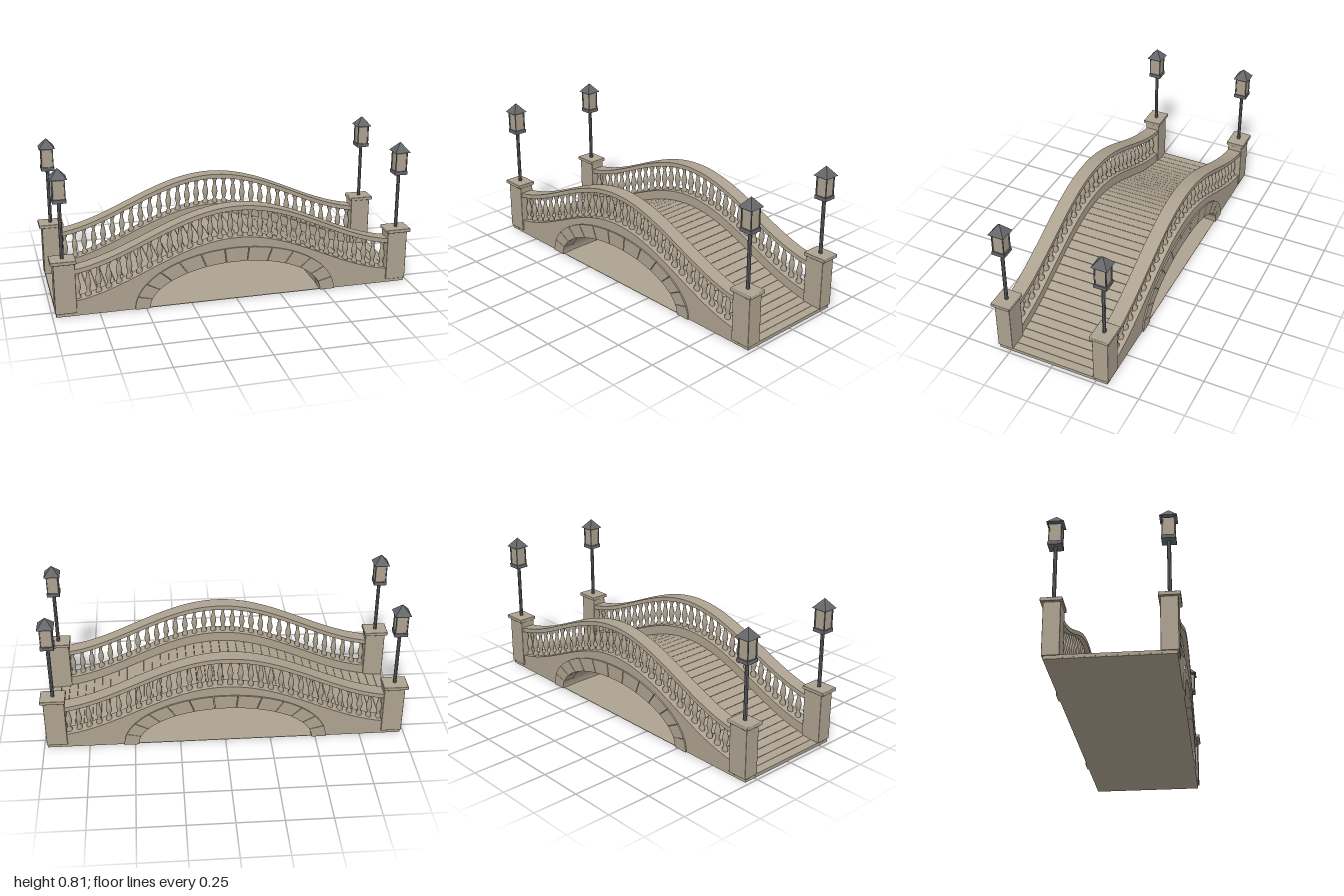
import * as THREE from 'three';
import { toCreasedNormals } from 'three/addons/utils/BufferGeometryUtils.js';
import { RoundedBoxGeometry } from 'three/addons/geometries/RoundedBoxGeometry.js';

const stone = new THREE.MeshStandardMaterial({ color: 0xada290 });
stone.name = 'stone';
const metal = new THREE.MeshStandardMaterial({ color: 0x66676a });
metal.name = 'iron';

// height of the walkway along the bridge
const deckY = (x) => 0.02 + 0.14 * (1 + Math.cos((Math.PI * x) / 0.98));

function add(parent, name, geometry, material, x = 0, y = 0, z = 0) {
  const mesh = new THREE.Mesh(geometry, material);
  mesh.name = name;
  mesh.position.set(x, y, z);
  parent.add(mesh);
  return mesh;
}

// points along the humped curve, raised by "lift"
function hump(halfLength, lift, steps = 56) {
  const pts = [];
  for (let i = 0; i <= steps; i++) {
    const x = halfLength * (1 - (2 * i) / steps);
    pts.push(new THREE.Vector2(x, deckY(x) + lift));
  }
  return pts;
}

function extrude(points, depth) {
  const geo = new THREE.ExtrudeGeometry(new THREE.Shape(points), { depth, bevelEnabled: false });
  geo.translate(0, 0, -depth / 2);
  return toCreasedNormals(geo, 0.5);
}

// solid under the humped curve with an elliptical opening
function archBody(lift, depth) {
  const pts = [new THREE.Vector2(-0.98, 0)];
  for (let i = 0; i <= 40; i++) {
    const a = Math.PI * (1 - i / 40);
    pts.push(new THREE.Vector2(0.485 * Math.cos(a), 0.225 * Math.sin(a)));
  }
  pts.push(new THREE.Vector2(0.98, 0), ...hump(0.98, lift));
  return extrude(pts, depth);
}

// one wedge of the arch ring
function archStone(a0, a1, depth) {
  const pts = [];
  const n = 4;
  for (let i = 0; i <= n; i++) {
    const a = a0 + ((a1 - a0) * i) / n;
    pts.push(new THREE.Vector2(0.56 * Math.cos(a), 0.3 * Math.sin(a)));
  }
  for (let i = n; i >= 0; i--) {
    const a = a0 + ((a1 - a0) * i) / n;
    pts.push(new THREE.Vector2(0.48 * Math.cos(a), 0.22 * Math.sin(a)));
  }
  return extrude(pts, depth);
}

function createLamp() {
  const lamp = new THREE.Group();
  lamp.name = 'lamp';
  add(lamp, 'lampPole', toCreasedNormals(new THREE.CylinderGeometry(0.01, 0.01, 0.32, 8), 0.3), metal, 0, 0.475, 0);
  add(lamp, 'lanternBase', new THREE.BoxGeometry(0.072, 0.02, 0.072), metal, 0, 0.64, 0);
  add(lamp, 'lanternPane', new THREE.BoxGeometry(0.058, 0.1, 0.058), stone, 0, 0.7, 0);
  for (const sx of [-1, 1]) {
    for (const sz of [-1, 1]) {
      add(lamp, 'lanternCorner', new THREE.BoxGeometry(0.006, 0.11, 0.006), metal, sx * 0.03, 0.704, sz * 0.03);
    }
  }
  const roof = new THREE.ConeGeometry(0.044 * Math.SQRT2, 0.053, 4, 1).toNonIndexed();
  roof.rotateY(Math.PI / 4);
  roof.computeVertexNormals();
  add(lamp, 'lanternRoof', roof, metal, 0, 0.7835, 0);
  return lamp;
}

export function createModel() {
  const bridge = new THREE.Group();
  bridge.name = 'footbridge';

  // core, and the thin floor under the arch
  add(bridge, 'bridgeCore', archBody(-0.01, 0.49), stone);
  add(bridge, 'archFloor', new THREE.BoxGeometry(0.98, 0.003, 0.63), stone, 0, 0.0015, 0);

  // walkway slabs following the curve
  const slabs = 40;
  const pitch = 1.964 / slabs;
  for (let i = 0; i < slabs; i++) {
    const x0 = -0.982 + i * pitch;
    const x1 = x0 + pitch;
    const rise = deckY(x1) - deckY(x0);
    const slab = new THREE.BoxGeometry(Math.hypot(pitch, rise) - 0.002, 0.014, 0.487);
    slab.translate(0, -0.007, 0);
    add(bridge, 'walkwaySlab', slab, stone, (x0 + x1) / 2, (deckY(x0) + deckY(x1)) / 2, 0)
      .rotation.z = Math.atan2(rise, pitch);
  }

  // shared side parts
  const wallGeo = archBody(0.055, 0.072);
  const railGeo = extrude([...hump(0.88, 0.21).reverse(), ...hump(0.88, 0.235)], 0.078);
  const profile = [
    [0.016, -0.012], [0.016, 0.014], [0.009, 0.022], [0.011, 0.04], [0.017, 0.062], [0.015, 0.082],
    [0.009, 0.108], [0.008, 0.128], [0.014, 0.138], [0.015, 0.165],
  ].map(([r, y]) => new THREE.Vector2(r, y));
  const balusterGeo = new THREE.LatheGeometry(profile, 10);
  const ringStones = 13;
  const step = Math.PI / ringStones;
  const ringGeos = [];
  for (let i = 0; i < ringStones; i++) {
    ringGeos.push(archStone(i * step + (i ? 0.004 : 0), (i + 1) * step - (i < ringStones - 1 ? 0.004 : 0), 0.07));
  }
  const pillarGeo = new RoundedBoxGeometry(0.114, 0.285, 0.087, 2, 0.004);
  const capGeo = new RoundedBoxGeometry(0.136, 0.02, 0.109, 2, 0.004);

  for (const side of [-1, 1]) {
    const parapet = new THREE.Group();
    parapet.name = side > 0 ? 'frontParapet' : 'backParapet';
    bridge.add(parapet);

    add(parapet, 'sideWall', wallGeo, stone, 0, 0, side * 0.279);
    add(parapet, 'handrail', railGeo, stone, 0, 0, side * 0.279);
    for (const geo of ringGeos) add(parapet, 'archStone', geo, stone, 0, 0, side * 0.288);

    // balusters
    for (let i = 0; i < 32; i++) {
      const x = (i - 15.5) * 0.0553;
      add(parapet, 'baluster', balusterGeo, stone, x, deckY(x) + 0.055, side * 0.279);
    }

    // end pillars with lamps
    for (const end of [-1, 1]) {
      add(parapet, 'pillar', pillarGeo, stone, end * 0.928, 0.1605, side * 0.2795);
      add(parapet, 'pillarCap', capGeo, stone, end * 0.932, 0.308, side * 0.2815);
      const lamp = createLamp();
      lamp.position.set(end * 0.932, 0, side * 0.28);
      parapet.add(lamp);
    }
  }
  return bridge;
}
